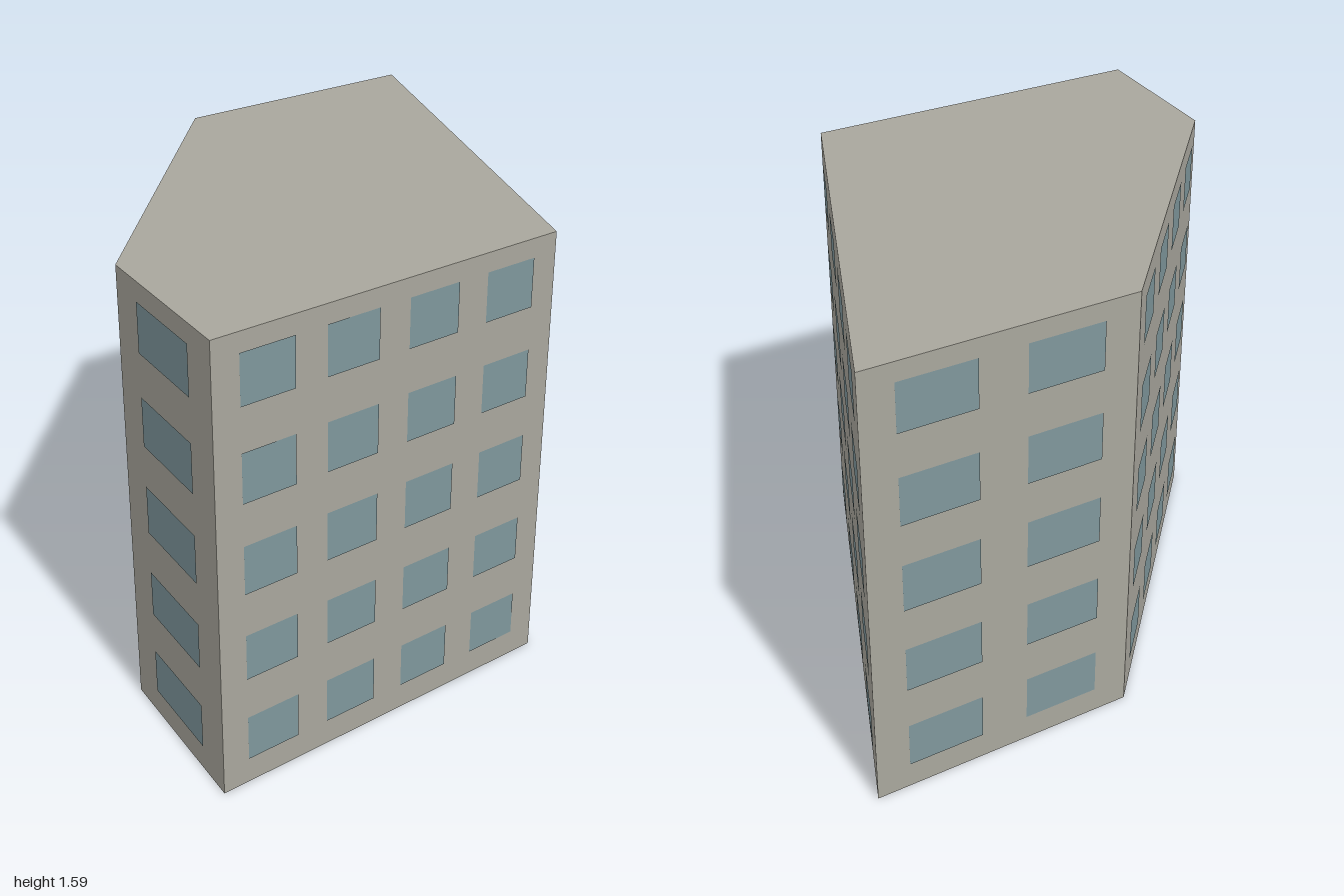
import * as THREE from 'three';

const HEIGHT = 1.585;

// Footprint corners [x, z] and, for the wall starting at each corner,
// the window columns: count, first and last edge, width (as fractions of the wall)
const WALLS = [
  { name: 'front', at: [-1, 0.832], count: 4, first: 0.072, last: 0.928, width: 0.148 },
  { name: 'left', at: [0.32, 0.822], count: 4, first: 0.062, last: 0.936, width: 0.15 },
  { name: 'back', at: [0.997, -0.832], count: 2, first: 0.124, last: 0.868, width: 0.284 },
  { name: 'rightRear', at: [0.04, -0.832], count: 4, first: 0.068, last: 0.936, width: 0.149 },
  { name: 'rightFront', at: [-0.932, 0.218], count: 1, first: 0.235, last: 0.78, width: 0.545 },
];

// Bottom and top of each window row
const ROWS = [[0.093, 0.255], [0.402, 0.565], [0.715, 0.885], [1.03, 1.2], [1.35, 1.52]];

export function createModel() {
  const building = new THREE.Group();
  building.name = 'building';

  const concrete = new THREE.MeshStandardMaterial({ color: 0xa9a79d, side: THREE.DoubleSide });
  concrete.name = 'concrete';
  const glass = new THREE.MeshStandardMaterial({ color: 0x7f979c });
  glass.name = 'glass';

  // Flat rectangle from (x0, y0) to (x1, y1), standing at depth z
  const panel = (name, material, x0, x1, y0, y1, z) => {
    const mesh = new THREE.Mesh(new THREE.PlaneGeometry(x1 - x0, y1 - y0), material);
    mesh.position.set((x0 + x1) / 2, (y0 + y1) / 2, z);
    mesh.name = name;
    return mesh;
  };

  // Walls with their window grids; the shell is open underneath
  WALLS.forEach((wall, i) => {
    const [x, z] = wall.at;
    const [nx, nz] = WALLS[(i + 1) % WALLS.length].at;
    const length = Math.hypot(nx - x, nz - z);

    const side = new THREE.Group();
    side.name = wall.name + 'Side';
    side.position.set(x, 0, z);
    side.rotation.y = Math.atan2(z - nz, nx - x);
    side.add(panel(wall.name + 'Wall', concrete, 0, length, 0, HEIGHT, 0));

    const pitch = wall.count > 1 ? (wall.last - wall.first - wall.width) / (wall.count - 1) : 0;
    for (let c = 0; c < wall.count; c++) {
      const start = wall.first + c * pitch;
      for (const [y0, y1] of ROWS) {
        side.add(panel('window', glass, start * length, (start + wall.width) * length, y0, y1, 0.003));
      }
    }
    building.add(side);
  });

  // Flat roof
  const outline = new THREE.Shape(WALLS.map(({ at: [x, z] }) => new THREE.Vector2(x, -z)));
  const roof = new THREE.Mesh(new THREE.ShapeGeometry(outline).rotateX(-Math.PI / 2), concrete);
  roof.position.y = HEIGHT;
  roof.name = 'roof';
  building.add(roof);

  return building;
}
